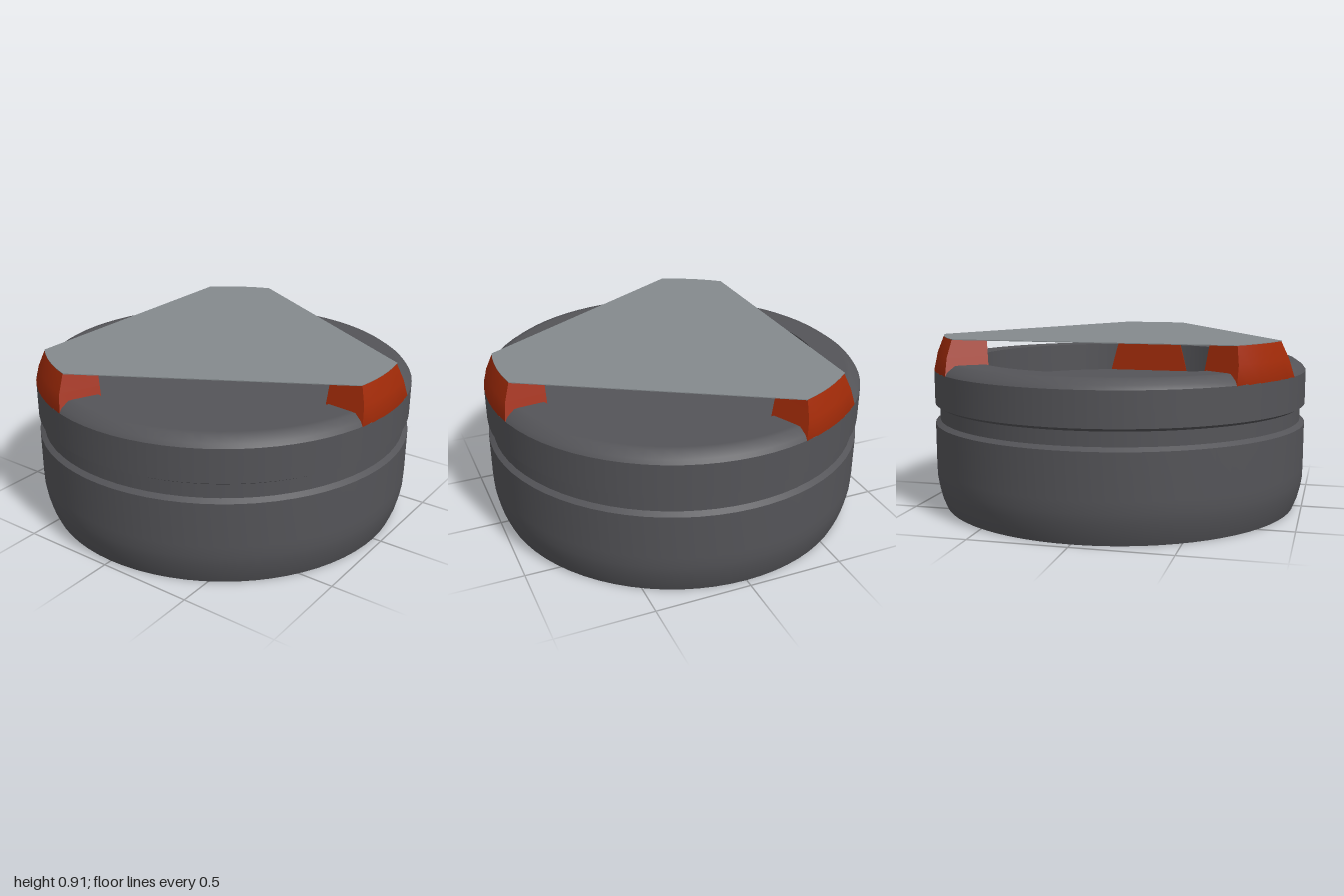
import * as THREE from 'three';
import { toCreasedNormals } from 'three/addons/utils/BufferGeometryUtils.js';

const bodyGrey = new THREE.MeshStandardMaterial({ name: 'dark grey', color: 0x545458 });
const plateGrey = new THREE.MeshStandardMaterial({ name: 'light grey', color: 0x848a8d });
const rust = new THREE.MeshStandardMaterial({ name: 'rust orange', color: 0xa02a08 });

// Revolved section; separate sections keep the edges between them sharp
function lathe(name, profile, material = bodyGrey) {
  const points = profile.map(([r, y]) => new THREE.Vector2(r, y));
  const mesh = new THREE.Mesh(new THREE.LatheGeometry(points, 72), material);
  mesh.name = name;
  return mesh;
}

// Tapered foot on the +x side, lofted from levels of [y, outer radius, half width]
function footGeometry() {
  const levels = [[0.61, 0.97, 0.27], [0.73, 1, 0.235], [0.82, 0.98, 0.206], [0.907, 0.945, 0.178]];
  const inner = 0.75, steps = 6;
  const rings = levels.map(([y, r, w]) => {
    const ring = [];
    for (let i = 0; i <= steps; i++) {
      const z = w * (2 * i / steps - 1);
      ring.push([Math.sqrt(r * r - z * z), y, z]);
    }
    ring.push([inner, y, w * 0.9], [inner, y, -w * 0.9]);
    return ring;
  });
  const pos = [];
  const n = rings[0].length;
  for (let l = 0; l < rings.length - 1; l++) {
    for (let i = 0; i < n; i++) {
      const j = (i + 1) % n;
      const a = rings[l][i], b = rings[l][j], c = rings[l + 1][j], d = rings[l + 1][i];
      pos.push(...a, ...c, ...b, ...a, ...d, ...c);
    }
  }
  const geo = new THREE.BufferGeometry();
  geo.setAttribute('position', new THREE.Float32BufferAttribute(pos, 3));
  return toCreasedNormals(geo, 0.5);
}

export function createModel() {
  const model = new THREE.Group();
  model.name = 'roundContainer';

  // Drum body with a light underside, a groove, a bevelled rim and a recessed floor
  const body = new THREE.Group();
  body.name = 'body';
  body.add(
    lathe('base', [[0, 0], [0.955, 0]], plateGrey),
    lathe('lowerWall', [[0.955, 0], [0.975, 0.05], [0.99, 0.11], [0.998, 0.16], [1, 0.22], [1, 0.45]]),
    lathe('grooveLowerEdge', [[1, 0.45], [0.975, 0.468]]),
    lathe('groove', [[0.975, 0.468], [0.975, 0.54]]),
    lathe('grooveUpperEdge', [[0.975, 0.54], [1, 0.555]]),
    lathe('upperWall', [[1, 0.555], [1, 0.73]]),
    lathe('rim', [[1, 0.73], [0.985, 0.75], [0.945, 0.778], [0.92, 0.78], [0.79, 0.78]]),
    lathe('rimInnerWall', [[0.79, 0.78], [0.79, 0.62]]),
    lathe('recessedFloor', [[0.79, 0.62], [0, 0.62]])
  );
  model.add(body);

  // Three feet around the rim, and the plate outline that follows their outer edges
  const geo = footGeometry();
  const outline = [];
  for (let k = 0; k < 3; k++) {
    const angle = k * Math.PI * 2 / 3;
    const foot = new THREE.Mesh(geo, rust);
    foot.name = 'foot' + (k + 1);
    foot.rotation.y = angle;
    model.add(foot);
    for (let i = -3; i <= 3; i++) {
      const a = angle + i / 3 * 0.195;
      outline.push(new THREE.Vector2(0.945 * Math.cos(a), 0.945 * Math.sin(a)));
    }
  }

  // Thin triangular plate resting on the feet
  const plateGeo = new THREE.ExtrudeGeometry(new THREE.Shape(outline), { depth: 0.004, bevelEnabled: false });
  plateGeo.rotateX(-Math.PI / 2);
  const plate = new THREE.Mesh(plateGeo, plateGrey);
  plate.name = 'topPlate';
  plate.position.y = 0.906;
  model.add(plate);

  return model;
}
